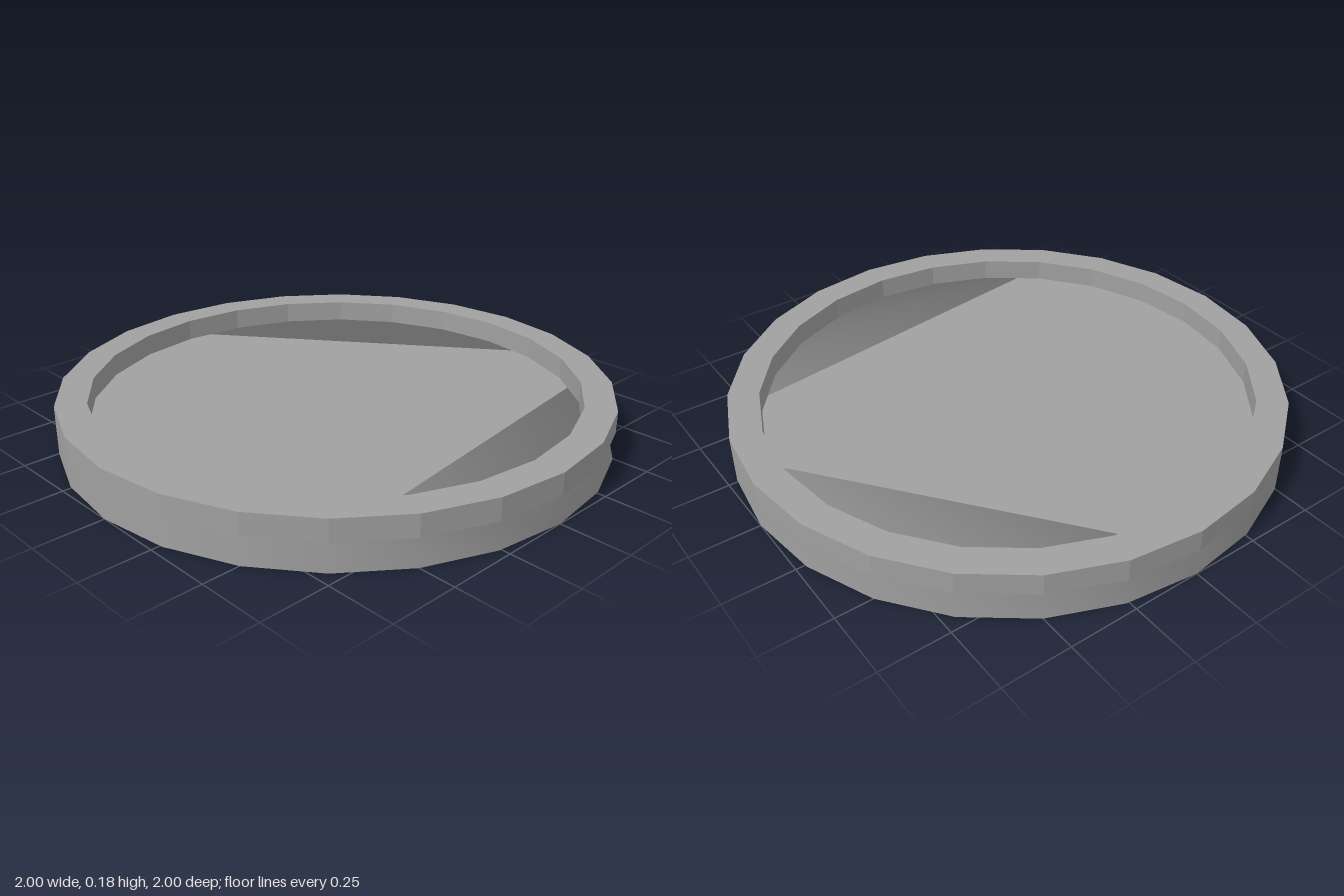
import * as THREE from 'three';

const SIDES = 24;
const BASE_TOP = 0.1;
const RIM_TOP = 0.18;
const INNER = 0.888;

// corner k of the polygon, counter-clockwise seen from above
const corner = (k, r = 1) => {
  const a = (k / SIDES) * Math.PI * 2;
  return new THREE.Vector2(Math.cos(a) * r, Math.sin(a) * r);
};

// upper corners inside the two cut-away spans fold back onto the start of the span
const topIndex = (k) => {
  if (k > 15 && k < 22) return 15;
  return k < 6 ? 23 : k;
};

// surface over rows of corners at the given heights, with smooth radial normals
const radialSurface = (heights, index) => {
  const position = [], normal = [];
  for (const y of heights) {
    for (let k = 0; k < SIDES; k++) {
      const p = corner(k);
      position.push(p.x, y, -p.y);
      normal.push(p.x, 0, -p.y);
    }
  }
  const geometry = new THREE.BufferGeometry();
  geometry.setAttribute('position', new THREE.Float32BufferAttribute(position, 3));
  geometry.setAttribute('normal', new THREE.Float32BufferAttribute(normal, 3));
  geometry.setIndex(index);
  return geometry;
};

export function createModel() {
  const model = new THREE.Group();
  const material = new THREE.MeshStandardMaterial({ color: 0xa0a0a0 });
  const add = (name, geometry, parent) => {
    const mesh = new THREE.Mesh(geometry, material);
    mesh.name = name;
    parent.add(mesh);
  };
  const all = Array.from({ length: SIDES }, (_, k) => k);

  // base disc with two sloping cut-aways
  const base = new THREE.Group();
  base.name = 'base';
  model.add(base);

  // base wall between the lower and upper row
  const wall = [];
  for (const k of all) {
    const next = (k + 1) % SIDES;
    const t0 = topIndex(k), t1 = topIndex(next);
    wall.push(k, next, SIDES + t0);
    if (t0 !== t1) wall.push(next, SIDES + t1, SIDES + t0);
  }
  add('baseWall', radialSurface([0, BASE_TOP], wall), base);

  // thin webs closing the rim above the cut-aways, faced on both sides
  const webs = [];
  for (const [start, end] of [[15, 22], [23, 30]]) {
    for (let k = start + 1; k < end; k++) {
      const a = k % SIDES, b = (k + 1) % SIDES;
      webs.push(start, a, b, start, b, a);
    }
  }
  add('rimWebs', radialSurface([BASE_TOP - 0.001], webs), base);

  // base floor, bounded by the corners that are kept
  const kept = all.filter((k) => topIndex(k) === k);
  const floor = new THREE.ShapeGeometry(new THREE.Shape(kept.map((k) => corner(k))));
  floor.rotateX(-Math.PI / 2).translate(0, BASE_TOP, 0);
  add('baseFloor', floor, base);

  // underside
  add('underside', new THREE.CircleGeometry(1, SIDES).rotateX(Math.PI / 2), base);

  // raised rim ring
  const ring = new THREE.Shape(all.map((k) => corner(k)));
  ring.holes.push(new THREE.Path(all.map((k) => corner(k, INNER))));
  const rim = new THREE.ExtrudeGeometry(ring, { depth: RIM_TOP - BASE_TOP, bevelEnabled: false });
  rim.rotateX(-Math.PI / 2).translate(0, BASE_TOP, 0);
  add('rim', rim, model);

  return model;
}
